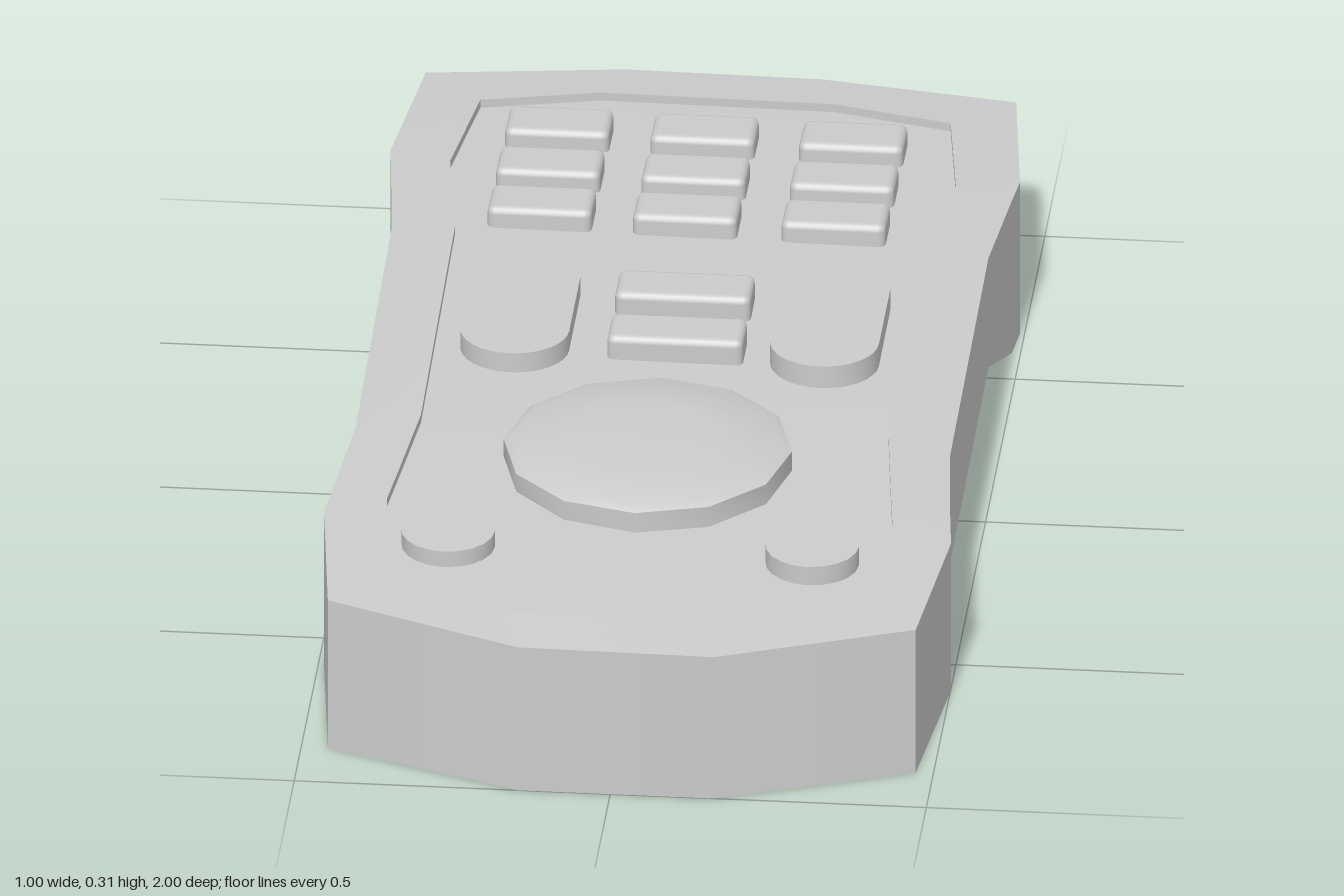
import * as THREE from 'three';
import { toCreasedNormals } from 'three/addons/utils/BufferGeometryUtils.js';
import { RoundedBoxGeometry } from 'three/addons/geometries/RoundedBoxGeometry.js';

const material = new THREE.MeshStandardMaterial({ color: 0xcccccc });
const TILT = 0.009;

// Stations from back to front:
// outer z, outer half width, inner z, inner half width, rim height, underside height
const STATIONS = [
  [-1.0, 0.155, -0.9, 0.185, 0.262, 0],
  [-0.95, 0.467, -0.85, 0.372, 0.264, 0],
  [-0.66, 0.498, -0.62, 0.4, 0.271, 0],
  [-0.59, 0.491, -0.56, 0.394, 0.273, 0],
  [-0.38, 0.472, -0.38, 0.372, 0.277, 0.08],
  [0.31, 0.47, 0.27, 0.37, 0.273, 0.08],
  [0.5, 0.487, 0.46, 0.39, 0.267, 0],
  [0.59, 0.496, 0.55, 0.4, 0.264, 0],
  [0.88, 0.465, 0.785, 0.378, 0.256, 0],
  [1.0, 0.155, 0.895, 0.16, 0.251, 0],
];

// Closed shell: side walls, rim, recessed face and arched underside
function bodyGeometry() {
  const positions = [], indices = [];
  const add = (x, y, z) => positions.push(x + 0.008 * z, y, z);
  for (const [zo, wo, zi, wi, rim, bottom] of STATIONS) {
    const inner = rim + 0.008, floor = inner - 0.014;
    add(-wo, bottom, zo);
    add(wo, bottom, zo);
    add(wo, rim - TILT * wo, zo);
    add(wi, inner - TILT * wi, zi);
    add(wi, floor - TILT * wi, zi);
    add(-wi, floor + TILT * wi, zi);
    add(-wi, inner + TILT * wi, zi);
    add(-wo, rim + TILT * wo, zo);
  }
  const quad = (a, b, c, d) => indices.push(a, b, c, a, c, d);
  const last = STATIONS.length - 1;
  for (let i = 0; i < last; i++) {
    for (let k = 0; k < 8; k++) {
      const a = i * 8 + k, b = i * 8 + (k + 1) % 8;
      quad(a, b, b + 8, a + 8);
    }
  }
  // End wall, end rim and end of the recess at both ends
  for (const [a, b, c, d] of [[0, 1, 2, 7], [7, 2, 3, 6], [6, 3, 4, 5]]) {
    const o = last * 8;
    quad(o + a, o + b, o + c, o + d);
    quad(d, c, b, a);
  }
  const geometry = new THREE.BufferGeometry();
  geometry.setAttribute('position', new THREE.Float32BufferAttribute(positions, 3));
  geometry.setIndex(indices);
  return toCreasedNormals(geometry, 0.5);
}

// Upright rounded bar, long side along z
function pillGeometry(radius, halfLength, height) {
  const shape = new THREE.Shape();
  const straight = halfLength - radius;
  shape.absarc(0, straight, radius, 0, Math.PI, false);
  shape.absarc(0, -straight, radius, Math.PI, Math.PI * 2, false);
  const geometry = new THREE.ExtrudeGeometry(shape, { depth: height, bevelEnabled: false, curveSegments: 8 });
  return toCreasedNormals(geometry.rotateX(-Math.PI / 2), 0.6);
}

export function createModel() {
  const model = new THREE.Group();
  model.name = 'remoteControl';
  const add = (name, geometry, x, y, z, pitch = 0) => {
    const mesh = new THREE.Mesh(geometry, material);
    mesh.name = name;
    mesh.position.set(x, y, z);
    mesh.rotation.x = pitch;
    model.add(mesh);
  };

  add('body', bodyGeometry(), 0, 0, 0);

  // Number keys: three rows of three
  const key = new RoundedBoxGeometry(0.165, 0.05, 0.095, 2, 0.012);
  [[-0.755, 0.269], [-0.603, 0.275], [-0.46, 0.279]].forEach(([z, y], row) => {
    [-0.245, -0.015, 0.22].forEach((x, column) =>
      add(`key${row * 3 + column + 1}`, key, x, y - TILT * x, z, -0.03));
  });

  // Pair of wide keys in the middle
  const wideKey = new RoundedBoxGeometry(0.215, 0.06, 0.09, 2, 0.012);
  add('upperWideKey', wideKey, 0.008, 0.279, -0.177);
  add('lowerWideKey', wideKey, 0.01, 0.279, -0.025);

  // Long rocker keys and round buttons on both sides
  const rocker = pillGeometry(0.086, 0.182, 0.044);
  const round = toCreasedNormals(new THREE.CylinderGeometry(0.074, 0.074, 0.04, 20), 0.6);
  for (const [side, s] of [['left', 1], ['right', -1]]) {
    add(`${side}Rocker`, rocker, 0.245 * s, 0.26, -0.1);
    add(`${side}RoundButton`, round, 0.288 * s, 0.264, 0.662, 0.03);
  }

  // Large twelve-sided pad with a shallow dome
  const profile = [[0.228, 0], [0.228, 0.04], [0.215, 0.047], [0.12, 0.055], [0, 0.058]]
    .map(([x, y]) => new THREE.Vector2(x, y));
  const pad = toCreasedNormals(new THREE.LatheGeometry(profile, 12), 0.55);
  add('directionPad', pad, 0, 0.256, 0.365, 0.02);

  return model;
}
